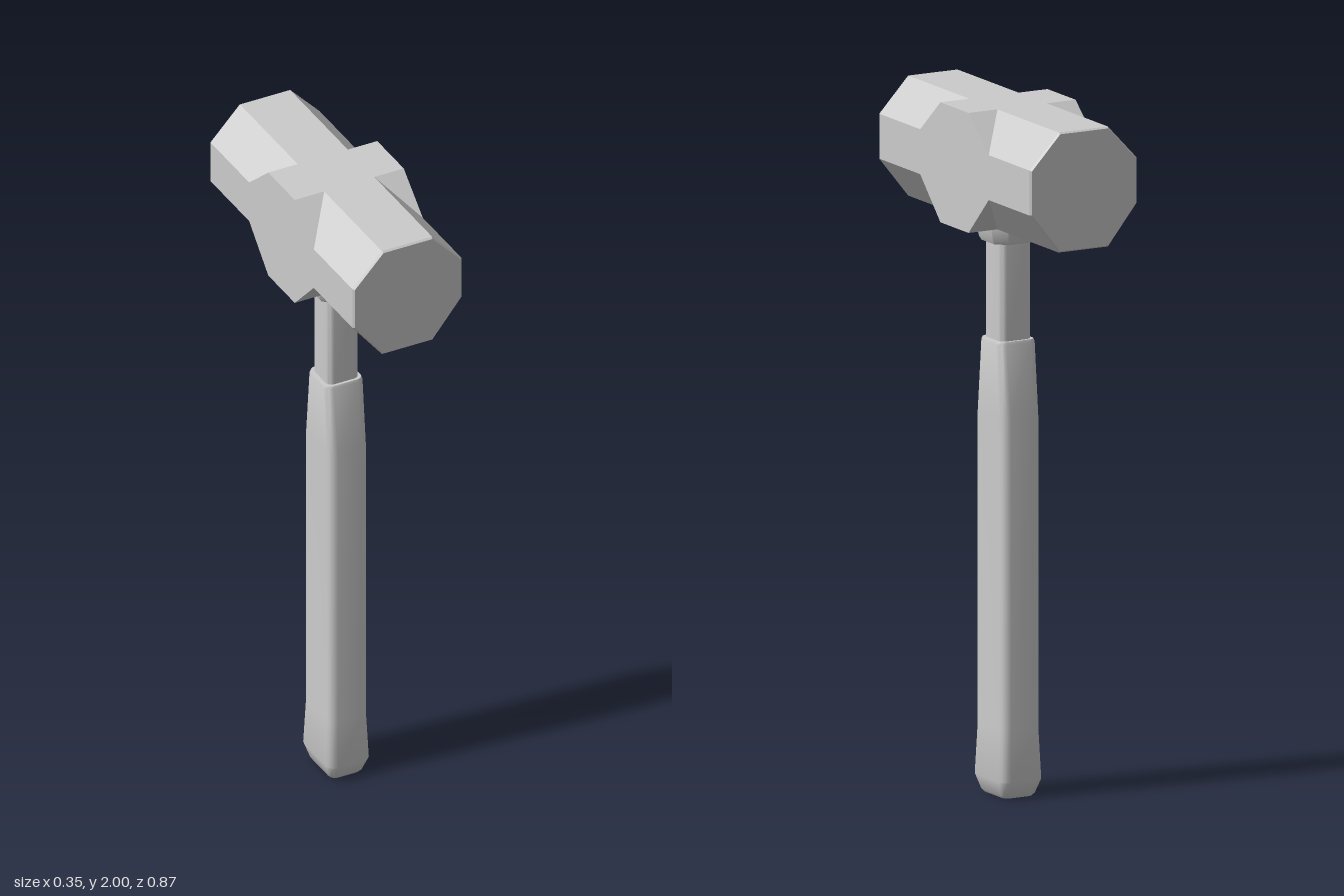
import * as THREE from 'three';
import { toCreasedNormals } from 'three/addons/utils/BufferGeometryUtils.js';

const material = new THREE.MeshStandardMaterial({ color: 0xcccccc });

// Closed loft through rounded rectangles: rows of [y, half width x, half depth z, corner radius]
function loft(name, rows, steps = 3) {
  const pos = [], index = [], n = 4 * (steps + 1);
  for (const [y, w, d, r] of rows) {
    for (let c = 0; c < 4; c++) {
      const sx = c === 0 || c === 3 ? 1 : -1, sz = c < 2 ? 1 : -1;
      for (let s = 0; s <= steps; s++) {
        const a = (c + s / steps) * Math.PI / 2;
        pos.push(sx * (w - r) + r * Math.cos(a), y, sz * (d - r) + r * Math.sin(a));
      }
    }
  }
  for (let i = 0; i < rows.length - 1; i++) {
    for (let j = 0; j < n; j++) {
      const a = i * n + j, b = i * n + (j + 1) % n;
      index.push(a, a + n, b, b, a + n, b + n);
    }
  }
  // end caps
  const top = (rows.length - 1) * n;
  for (let j = 1; j < n - 1; j++) index.push(0, j, j + 1, top, top + j + 1, top + j);
  const geo = new THREE.BufferGeometry();
  geo.setAttribute('position', new THREE.Float32BufferAttribute(pos, 3));
  geo.setIndex(index);
  const mesh = new THREE.Mesh(toCreasedNormals(geo, 0.6), material);
  mesh.name = name;
  return mesh;
}

// Octagonal double-faced head with a full square block in the middle
function createHead() {
  const W = 0.174, w = 0.08, top = 2, bottom = 1.653, upper = 1.9, lower = 1.77;
  const block = 0.08, flare = 0.195, rim = 0.428, end = 0.434, mid = (top + bottom) / 2;
  const faces = [];
  // one quarter (x > 0, z > 0), wound counter-clockwise seen from outside
  for (const [edge, side, up] of [[top, upper, 1], [bottom, lower, -1]]) {
    const add = (...p) => faces.push(up > 0 ? p : p.reverse());
    const A = [w, edge, block], C = [W, edge, block], B = [W, side, flare];
    const rimA = [w, edge, rim], rimB = [W, side, rim];
    const inset = ([x, y]) => [x * 0.975, mid + (y - mid) * 0.975, end];
    const rim0 = [0, edge, rim], rimM = [W, mid, rim];
    add([0, edge, 0], [0, edge, block], A, C, [W, edge, 0]);
    add([0, edge, block], rim0, rimA, A);
    add(A, rimA, rimB, B);
    add(A, B, C);
    add([W, mid, 0], [W, edge, 0], C, B, [W, mid, flare]);
    add(B, rimB, rimM, [W, mid, flare]);
    // narrow rim bevel and striking face
    add(rim0, inset(rim0), inset(rimA), rimA);
    add(rimA, inset(rimA), inset(rimB), rimB);
    add(rimB, inset(rimB), inset(rimM), rimM);
    add([0, mid, end], inset(rimM), inset(rimB), inset(rimA), inset(rim0));
  }
  const pos = [];
  for (const sx of [1, -1]) for (const sz of [1, -1]) {
    for (const face of faces) {
      const p = face.map(([x, y, z]) => [x * sx, y, z * sz]);
      if (sx * sz < 0) p.reverse();
      for (let i = 1; i < p.length - 1; i++) pos.push(...p[0], ...p[i], ...p[i + 1]);
    }
  }
  const geo = new THREE.BufferGeometry();
  geo.setAttribute('position', new THREE.Float32BufferAttribute(pos, 3));
  geo.computeVertexNormals();
  const mesh = new THREE.Mesh(geo, material);
  mesh.name = 'head';
  return mesh;
}

export function createModel() {
  const group = new THREE.Group();
  group.name = 'sledgehammer';
  group.add(
    createHead(),
    // flared collar under the head
    loft('collar', [
      [1.6, 0.066, 0.066, 0.03],
      [1.61, 0.071, 0.071, 0.032],
      [1.645, 0.08, 0.08, 0.035],
      [1.66, 0.08, 0.08, 0.035],
    ], 1),
    loft('shaft', [
      [1.3, 0.05, 0.05, 0.018],
      [1.62, 0.05, 0.05, 0.018],
    ]),
    // grip, wider front to back, swelling at the butt
    loft('grip', [
      [0, 0.048, 0.066, 0.02],
      [0.008, 0.054, 0.074, 0.022],
      [0.05, 0.067, 0.091, 0.026],
      [0.2, 0.061, 0.083, 0.024],
      [1.1, 0.061, 0.083, 0.024],
      [1.31, 0.061, 0.061, 0.022],
      [1.318, 0.058, 0.058, 0.02],
    ]),
  );
  return group;
}
